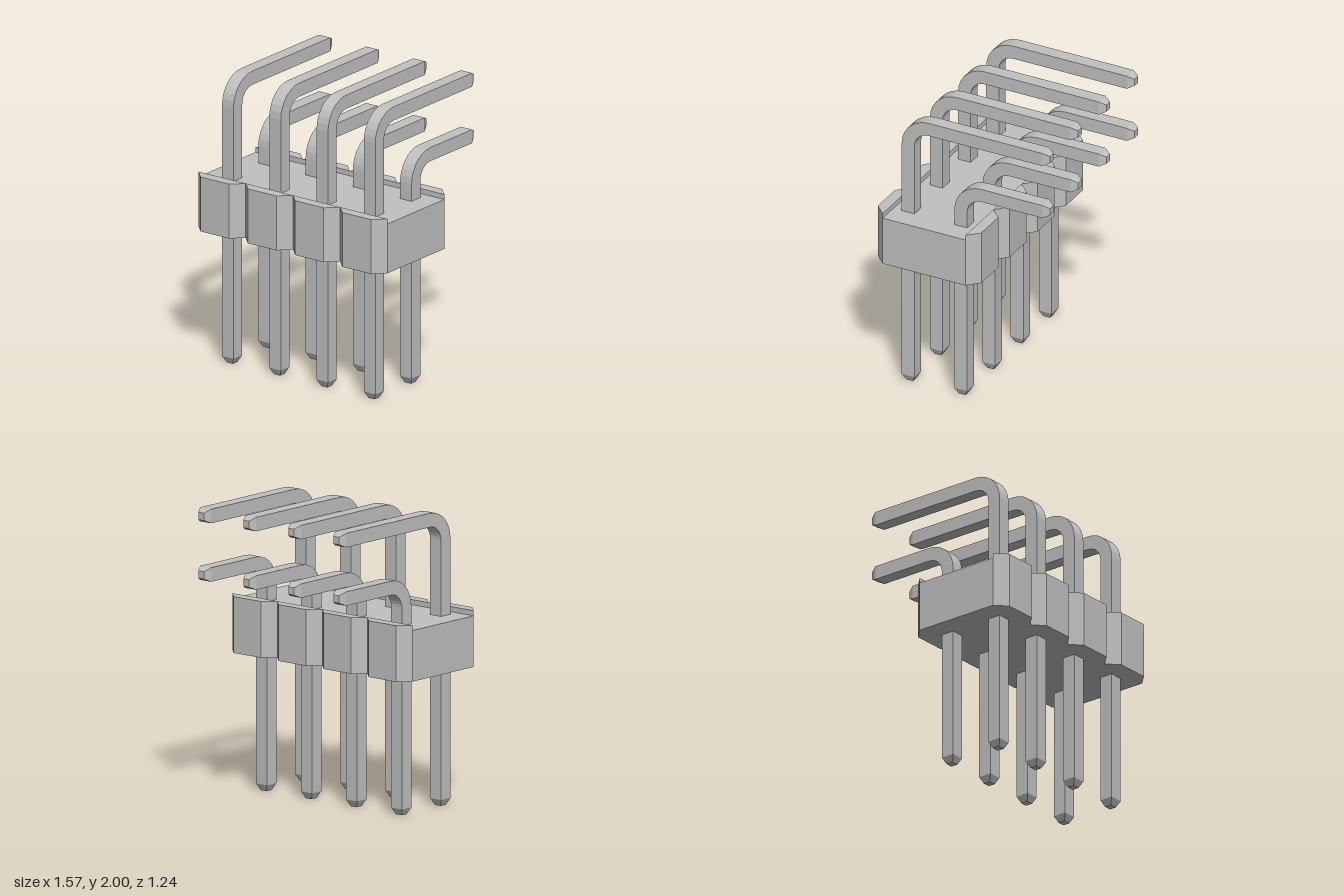
import * as THREE from 'three';

const PITCH = 0.3925;        // spacing of the four columns
const HALF = 0.0475;         // half the pin thickness
const TIP = 0.025;           // half the thickness at a pin's end
const BODY_Z = 0.2325;       // middle of the housing
const BASE = 0.94;           // underside of the housing

// Square pin swept up, round a quarter bend and back, with tapered ends
function pinGeometry(z, top) {
  const r = 0.155, endZ = -0.62, taper = 0.046, steps = 7;
  const cy = top - HALF - r, cz = z - r;
  const rings = [[0, z, 0, TIP], [taper, z, 0, HALF]];
  for (let i = 0; i <= steps; i++) {
    const a = (i / steps) * Math.PI / 2;
    rings.push([cy + r * Math.sin(a), cz + r * Math.cos(a), a, HALF]);
  }
  rings.push([top - HALF, endZ + taper, Math.PI / 2, HALF], [top - HALF, endZ, Math.PI / 2, TIP]);

  const positions = [], index = [];
  rings.forEach(([y, zz, a, h], k) => {
    for (const [sx, sn] of [[-1, 1], [1, 1], [1, -1], [-1, -1]]) {
      positions.push(sx * h, y + sn * h * Math.sin(a), zz + sn * h * Math.cos(a));
    }
    if (k === 0) return;
    const p = (k - 1) * 4, q = k * 4;
    for (let i = 0; i < 4; i++) {
      const j = (i + 1) % 4;
      index.push(p + i, p + j, q + j, p + i, q + j, q + i);
    }
  });
  const e = (rings.length - 1) * 4;
  index.push(0, 2, 1, 0, 3, 2, e, e + 1, e + 2, e, e + 2, e + 3);

  const g = new THREE.BufferGeometry();
  g.setAttribute('position', new THREE.Float32BufferAttribute(positions, 3));
  g.setIndex(index);
  const flat = g.toNonIndexed();
  flat.computeVertexNormals();
  return flat;
}

export function createModel() {
  const model = new THREE.Group();
  model.name = 'rightAnglePinHeader';
  const grey = new THREE.MeshStandardMaterial({ color: 0xc0c0c0, flatShading: true });
  grey.name = 'grey';

  const add = (geometry, name, parent = model) => {
    const mesh = new THREE.Mesh(geometry, grey);
    mesh.name = name;
    parent.add(mesh);
    return mesh;
  };

  // Housing core
  const core = add(new THREE.BoxGeometry(PITCH * 4, 0.345, 0.62), 'housingCore');
  core.position.set(0, BASE + 0.1725, BODY_Z);

  // Bevelled, slightly taller ridge for each column, front and back
  const w = PITCH / 2, c = 0.0775;
  const outline = new THREE.Shape([
    new THREE.Vector2(-w, 0), new THREE.Vector2(-w + c, -c),
    new THREE.Vector2(w - c, -c), new THREE.Vector2(w, 0),
  ]);
  const ridge = new THREE.ExtrudeGeometry(outline, { depth: 0.38, bevelEnabled: false });
  ridge.rotateX(-Math.PI / 2);
  const columns = [-1.5, -0.5, 0.5, 1.5].map((i) => i * PITCH);
  for (const side of ['front', 'back']) {
    const row = new THREE.Group();
    row.name = side + 'Ridges';
    row.position.set(0, BASE, BODY_Z);
    if (side === 'back') row.rotation.y = Math.PI;
    for (const x of columns) add(ridge, 'ridge', row).position.set(x, 0, 0.31);
    model.add(row);
  }

  // Two rows of bent pins
  const tallPin = pinGeometry(0.4325, 2);
  const shortPin = pinGeometry(0.0375, 1.605);
  for (const x of columns) {
    add(tallPin, 'tallPin').position.x = x;
    add(shortPin, 'shortPin').position.x = x;
  }
  return model;
}
